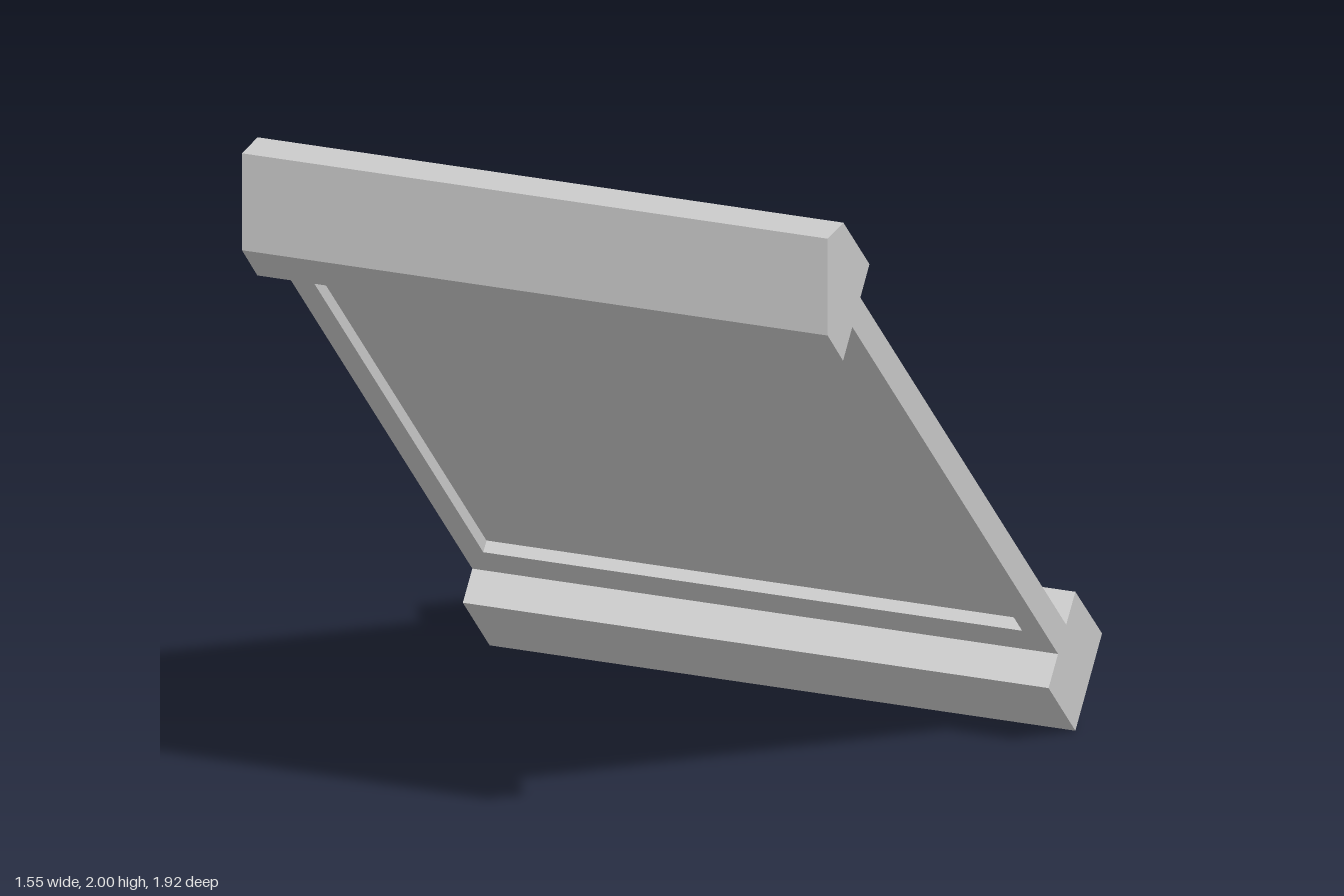
import * as THREE from 'three';

const WIDTH = 1.55;
const material = new THREE.MeshStandardMaterial({ color: 0xcccccc, flatShading: true });

// Shape from corner points
const outline = (points) => new THREE.Shape(points.map(([a, b]) => new THREE.Vector2(a, b)));

// Full-width bar from a (z, y) side profile
function bar(name, profile) {
  const geometry = new THREE.ExtrudeGeometry(outline(profile), { depth: WIDTH, bevelEnabled: false });
  geometry.translate(0, 0, -WIDTH / 2);
  geometry.rotateY(-Math.PI / 2);
  const mesh = new THREE.Mesh(geometry, material);
  mesh.name = name;
  return mesh;
}

// Corners of a rectangle
const rect = (halfWidth, low, high) => [
  [-halfWidth, low], [halfWidth, low], [halfWidth, high], [-halfWidth, high],
];

export function createModel() {
  const model = new THREE.Group();
  model.name = 'slopedPanel';

  // Square bar at the low rear end, clipped bar at the high front end
  model.add(bar('lowerBar', [[-0.773, 0], [-0.585, 0.188], [-0.773, 0.373], [-0.96, 0.188]]));
  model.add(bar('upperBar', [[0.963, 1.74], [0.963, 2], [0.853, 2], [0.67, 1.817], [0.855, 1.63]]));

  // Panel drawn flat, then tilted 45 degrees: y runs up the slope
  const panel = new THREE.Group();
  panel.name = 'panel';
  panel.rotation.x = Math.PI / 4;
  const middle = -0.68;

  // Surround with a rectangular opening
  const surround = outline(rect(WIDTH / 2, -0.282, 1.758));
  surround.holes.push(new THREE.Path(outline(rect(0.713, -0.158, 1.632)).getPoints().reverse()));
  const thickness = 0.08;
  const frame = new THREE.Mesh(
    new THREE.ExtrudeGeometry(surround, { depth: thickness, bevelEnabled: false }), material);
  frame.name = 'panelFrame';
  frame.position.z = middle - thickness / 2;
  panel.add(frame);

  // Thin sheet recessed on both faces
  const sheet = new THREE.Mesh(new THREE.BoxGeometry(1.426, 1.79, 0.016), material);
  sheet.name = 'recessedSheet';
  sheet.position.set(0, 0.737, middle);
  panel.add(sheet);

  model.add(panel);
  return model;
}
